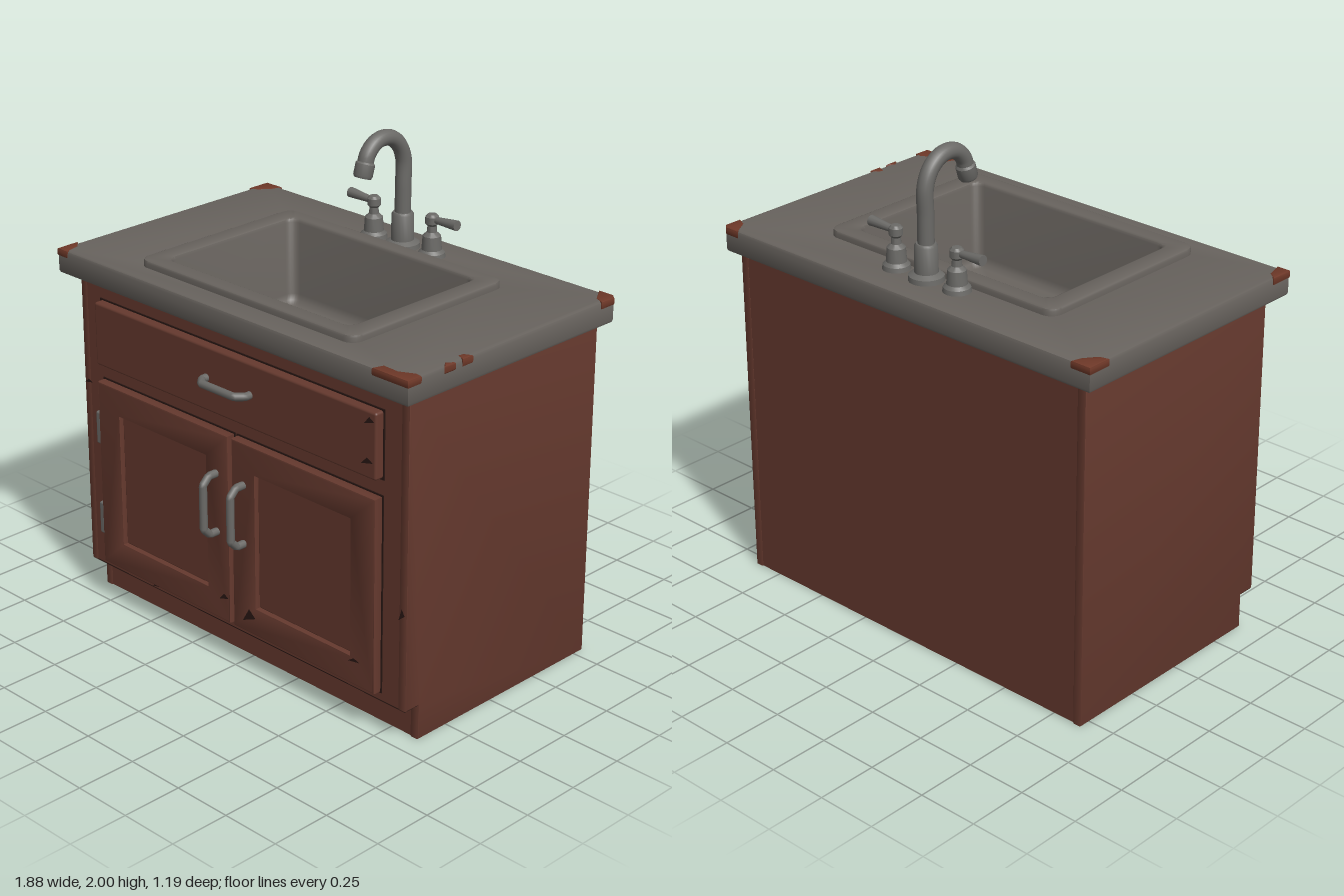
import * as THREE from 'three';
import { toCreasedNormals } from 'three/addons/utils/BufferGeometryUtils.js';
import { RoundedBoxGeometry } from 'three/addons/geometries/RoundedBoxGeometry.js';

const material = (name, color, side = THREE.FrontSide) => {
  const m = new THREE.MeshStandardMaterial({ color, side });
  m.name = name;
  return m;
};

export function createModel() {
  const wood = material('brown wood', 0x65392e);
  const stone = material('grey worktop', 0x68635e);
  const metal = material('grey metal', 0x6b6a67);
  const chipped = material('chipped brown', 0x6e3828);
  const dark = material('dark seam', 0x2a1814, THREE.DoubleSide);
  const model = new THREE.Group();

  const add = (name, geometry, mat, x = 0, y = 0, z = 0, parent = model) => {
    const mesh = new THREE.Mesh(geometry, mat);
    mesh.name = name;
    mesh.position.set(x, y, z);
    parent.add(mesh);
    return mesh;
  };
  // Box given by its limits on each axis
  const block = (name, mat, [x0, x1], [y0, y1], [z0, z1], r = 0, parent = model) => {
    const s = [x1 - x0, y1 - y0, z1 - z0];
    const g = r ? new RoundedBoxGeometry(...s, 2, r) : new THREE.BoxGeometry(...s);
    return add(name, g, mat, (x0 + x1) / 2, (y0 + y1) / 2, (z0 + z1) / 2, parent);
  };
  const polygon = (pts) => new THREE.Shape(pts.map(([x, y]) => new THREE.Vector2(x, y)));
  const rect = (x0, x1, y0, y1) => polygon([[x0, y0], [x1, y0], [x1, y1], [x0, y1]]);
  // Extrusion whose bevel stays inside the drawn outline
  const slab = (shape, depth, b) => {
    const g = new THREE.ExtrudeGeometry(shape, {
      depth: depth - 2 * b, bevelEnabled: b > 0, bevelThickness: b, bevelSize: b,
      bevelOffset: -b, bevelSegments: 2, curveSegments: 8,
    });
    return toCreasedNormals(g.translate(0, 0, b), 0.7);
  };

  // Cabinet carcass, open at the top for the basin
  const side = slab(polygon([[-0.55, 0], [0.405, 0], [0.405, 0.145], [0.475, 0.145], [0.475, 1.41], [-0.55, 1.41]]), 0.04, 0.006);
  side.rotateY(-Math.PI / 2);
  add('cabinetSideLeft', side, wood, 0.885);
  add('cabinetSideRight', side, wood, -0.845);
  block('cabinetBack', wood, [-0.865, 0.865], [0.003, 1.41], [-0.548, -0.5]);
  block('cabinetBase', wood, [-0.865, 0.865], [0.003, 0.146], [-0.54, 0.403]);
  block('cabinetFace', wood, [-0.865, 0.865], [0.147, 1.41], [0.43, 0.474]);
  block('plinthSeam', dark, [-0.88, 0.88], [0.142, 0.149], [0.4, 0.473]);

  // Drawer front
  block('drawerSeam', dark, [-0.768, 0.768], [1.047, 1.322], [0.47, 0.478]);
  block('drawerFront', wood, [-0.762, 0.762], [1.053, 1.316], [0.47, 0.515], 0.01);

  // Bent bar pull, long axis along y
  const pull = (half, reach) => {
    const path = new THREE.CurvePath();
    const p = [[-half, 0], [-half, reach - 0.03], [-half + 0.03, reach], [half - 0.03, reach], [half, reach - 0.03], [half, 0]]
      .map(([y, z]) => new THREE.Vector3(0, y, z));
    for (let i = 0; i < 5; i++) path.add(new THREE.LineCurve3(p[i], p[i + 1]));
    return new THREE.TubeGeometry(path, 40, 0.016, 10);
  };
  add('drawerPull', pull(0.118, 0.055).rotateZ(Math.PI / 2), metal, 0, 1.19, 0.513);

  // Pair of framed doors with recessed panels
  for (const s of [-1, 1]) {
    const door = new THREE.Group();
    door.name = s < 0 ? 'rightDoor' : 'leftDoor';
    door.position.set(s * 0.385, 0.5825, 0);
    model.add(door);
    const frame = rect(-0.375, 0.375, -0.3975, 0.3975);
    frame.holes.push(rect(-0.25, 0.25, -0.28, 0.28));
    block('doorSeam', dark, [-0.381, 0.381], [-0.404, 0.404], [0.472, 0.478], 0, door);
    add('doorFrame', slab(frame, 0.045, 0.008), wood, 0, 0, 0.47, door);
    block('doorPanel', wood, [-0.251, 0.251], [-0.281, 0.281], [0.472, 0.495], 0.006, door);
    add('doorPull', pull(0.123, 0.07), metal, -s * 0.31, 0.1025, 0.513, door);
  }
  // Exposed hinges
  for (const y of [0.37, 0.77])
    block('hinge', metal, [-0.792, -0.762], [y - 0.07, y + 0.07], [0.465, 0.505], 0.008);

  // Worktop with sink cut-out; outline drawn in x and -z
  const top = polygon([[-0.935, -0.54], [0.935, -0.54], [0.935, 0.575], [0.92, 0.59], [-0.935, 0.59]]);
  top.holes.push(rect(-0.52, 0.52, -0.385, 0.32));
  add('worktop', slab(top, 0.102, 0.014).rotateX(-Math.PI / 2), stone, 0, 1.398, 0);

  // Sink: rounded rectangles lofted over the rim and down into the basin
  const ring = ([w, d, r, y]) => {
    const out = [];
    for (let c = 0; c < 4; c++) {
      const sx = c === 0 || c === 3 ? 1 : -1, sz = c < 2 ? -1 : 1;
      for (let i = 0; i <= 6; i++) {
        const a = (c + i / 6) * Math.PI / 2;
        out.push([sx * (w - r) + r * Math.cos(a), y, sz * (d - r) - r * Math.sin(a)]);
      }
    }
    return out;
  };
  const rings = [
    [0.575, 0.408, 0.05, 1.495], [0.575, 0.408, 0.05, 1.518], [0.572, 0.405, 0.047, 1.526], [0.563, 0.396, 0.04, 1.53],
    [0.5, 0.345, 0.04, 1.53], [0.491, 0.337, 0.04, 1.526], [0.487, 0.333, 0.04, 1.515],
    [0.468, 0.316, 0.04, 1.22], [0.462, 0.31, 0.04, 1.195], [0.44, 0.29, 0.03, 1.18], [0.001, 0.001, 0.0005, 1.178],
  ].map(ring);
  const n = rings[0].length, index = [];
  for (let j = 0; j < rings.length - 1; j++)
    for (let i = 0; i < n; i++) {
      const a = j * n + i, b = j * n + (i + 1) % n;
      index.push(a, b, b + n, a, b + n, a + n);
    }
  const sink = new THREE.BufferGeometry();
  sink.setAttribute('position', new THREE.Float32BufferAttribute(rings.flat(2), 3));
  sink.setIndex(index);
  add('sink', toCreasedNormals(sink, 0.8), stone, 0, 0, 0.0325);

  // Gooseneck tap
  const lathe = (pts) => toCreasedNormals(new THREE.LatheGeometry(pts.map(([r, y]) => new THREE.Vector2(r, y)), 20), 0.6);
  const tap = new THREE.Group();
  tap.name = 'tap';
  tap.position.set(0, 1.5, -0.425);
  model.add(tap);
  add('tapBase', lathe([[0.07, 0], [0.068, 0.02], [0.046, 0.032], [0.044, 0.135], [0.038, 0.145], [0, 0.145]]), metal, 0, 0, 0, tap);
  const neck = [[0.1, 0], [0.25, 0], [0.36, 0], [0.42, 0.025], [0.457, 0.068], [0.468, 0.115], [0.457, 0.162], [0.42, 0.201], [0.385, 0.213]];
  const curve = new THREE.CatmullRomCurve3(neck.map(([y, z]) => new THREE.Vector3(0, y, z)));
  add('tapNeck', new THREE.TubeGeometry(curve, 48, 0.032, 16), metal, 0, 0, 0, tap);
  const nozzle = add('tapNozzle', lathe([[0, -0.03], [0.033, -0.03], [0.038, -0.02], [0.038, 0.025], [0.031, 0.034]]), metal, 0, 0.363, 0.219, tap);
  nozzle.rotation.x = -0.3;

  // Lever valves either side of the tap
  for (const s of [-1, 1]) {
    const valve = new THREE.Group();
    valve.name = s < 0 ? 'rightValve' : 'leftValve';
    valve.position.set(s * 0.155, 1.5, -0.425);
    model.add(valve);
    add('valveBody', lathe([[0.055, 0], [0.052, 0.018], [0.04, 0.03], [0.036, 0.085], [0.02, 0.1], [0.018, 0.125],
      [0.027, 0.135], [0.027, 0.162], [0.018, 0.172], [0, 0.174]]), metal, 0, 0, 0, valve);
    const lever = add('valveLever', new THREE.CylinderGeometry(0.021, 0.012, 0.13, 12), metal, s * 0.065, 0.153, 0, valve);
    lever.rotation.z = -s * (Math.PI / 2 - 0.04);
  }

  // Worn corners and edges of the worktop, in x and z
  const wear = [
    [[-0.938, -0.593], [-0.85, -0.593], [-0.862, -0.55], [-0.9, -0.5], [-0.938, -0.49]],
    [[0.85, -0.593], [0.918, -0.593], [0.938, -0.575], [0.938, -0.5], [0.895, -0.52]],
    [[-0.938, 0.44], [-0.9, 0.47], [-0.88, 0.543], [-0.938, 0.543]],
    [[0.765, 0.543], [0.78, 0.497], [0.85, 0.5], [0.91, 0.47], [0.938, 0.475], [0.938, 0.543]],
    [[0.938, 0.21], [0.905, 0.225], [0.9, 0.25], [0.938, 0.265]],
    [[0.938, 0.3], [0.91, 0.33], [0.938, 0.36]],
  ];
  for (const pts of wear) {
    const g = slab(polygon(pts.map(([x, z]) => [x, -z])), 0.031, 0.006).rotateX(-Math.PI / 2);
    add('wornWorktopEdge', g, chipped, 0, 1.471, 0);
  }

  // Small nicks in the woodwork: x, y, z, width, height
  const nicks = [
    [-0.86, 0.94, 0.476, 0.05, 0.02], [0.86, 0.54, 0.476, 0.03, 0.05], [0.72, 1.12, 0.517, 0.06, 0.03],
    [0.73, 1.28, 0.517, 0.05, 0.03], [0.1, 0.26, 0.517, 0.07, 0.06], [-0.04, 0.29, 0.517, 0.05, 0.03],
    [0.66, 0.29, 0.517, 0.06, 0.02], [-0.48, 0.16, 0.476, 0.06, 0.02], [0.42, 1.385, 0.476, 0.07, 0.025],
  ];
  for (const [x, y, z, w, h] of nicks) {
    const g = new THREE.ShapeGeometry(polygon([[-w / 2, -h / 2], [w / 2, 0], [w / 4, h / 4], [0, h / 2]]));
    add('woodNick', g, dark, x, y, z);
  }
  return model;
}
